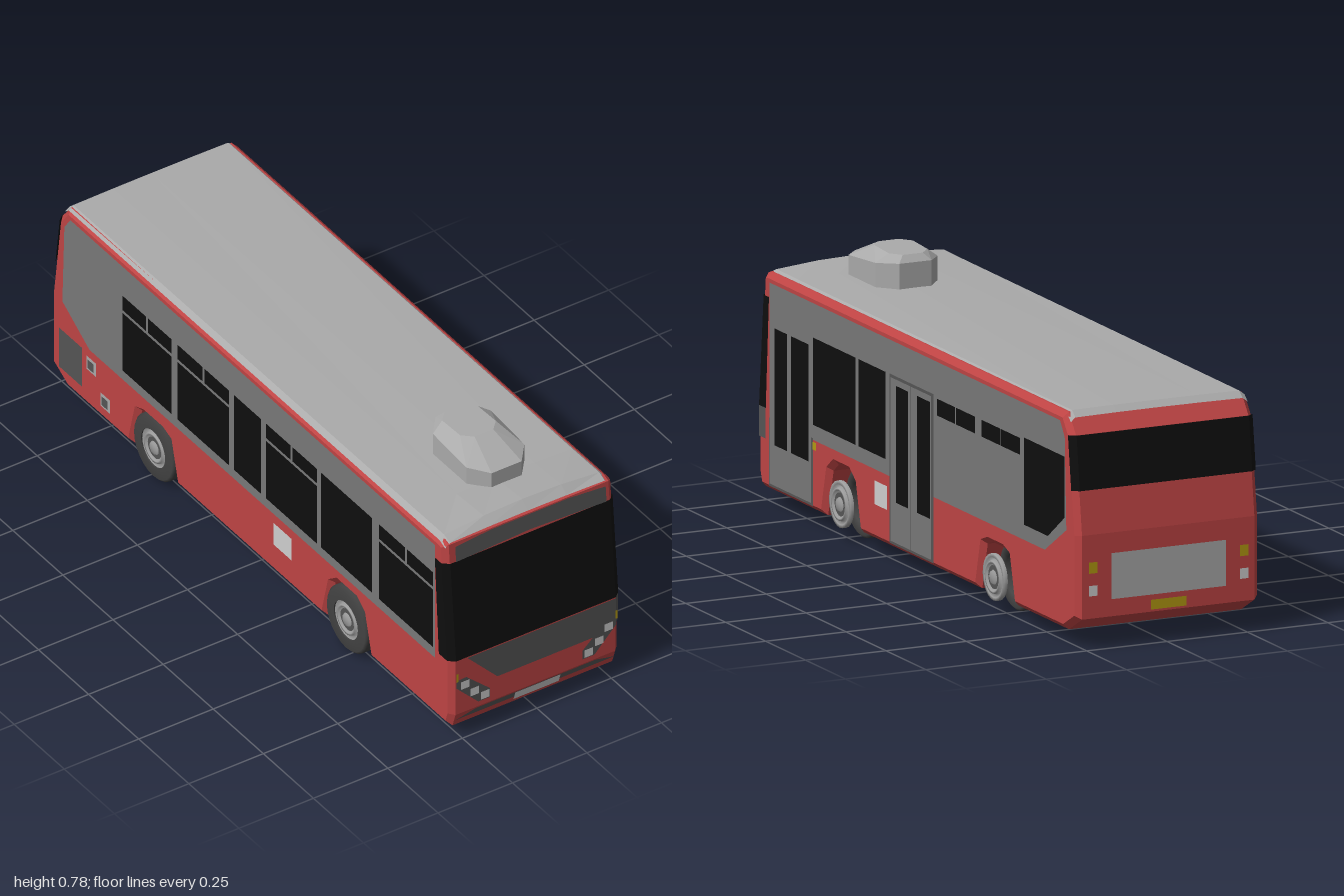
import * as THREE from 'three';
import { ConvexGeometry } from 'three/addons/geometries/ConvexGeometry.js';

const mat = (name, color) => {
  const m = new THREE.MeshStandardMaterial({ color, side: THREE.DoubleSide });
  m.name = name;
  return m;
};

export function createModel() {
  const red = mat('red paint', 0xbe4444), grey = mat('grey panel', 0x787878);
  const dark = mat('dark grey trim', 0x555555), black = mat('black glass', 0x0e0e0e);
  const light = mat('light grey roof', 0xaaaaaa), white = mat('white lamp', 0xcfcfcf);
  const yellow = mat('yellow marker', 0xb49a12), rubber = mat('tyre rubber', 0x424242);
  const steel = mat('wheel steel', 0x9c9c9c);

  const bus = new THREE.Group();
  bus.name = 'bus';
  const body = new THREE.Group();
  body.name = 'body';
  body.position.x = -0.005;
  bus.add(body);
  const add = (geo, material, name, parent = body) => {
    const m = new THREE.Mesh(geo, material);
    m.name = name;
    parent.add(m);
    return m;
  };
  const shape = pts => new THREE.Shape(pts.map(p => new THREE.Vector2(...p)));
  const rect = (a, b, c, d) => [[a, c], [b, c], [b, d], [a, d]];

  // Side profile in (z, y), with wheel arches open across the width
  const HX = 0.284, BEV = 0.016;
  const front = [[0.985, 0.045], [1, 0.09], [1, 0.28], [0.966, 0.66], [0.945, 0.668]];
  const rear = [[-0.915, 0.045], [-0.997, 0.09], [-0.997, 0.33], [-0.96, 0.61], [-0.915, 0.668]];
  const arch = (z, top) => [[z - 0.112, 0.045], [z - 0.078, 0.18], [z - 0.045, top],
    [z + 0.045, top], [z + 0.078, 0.18], [z + 0.112, 0.045]];
  const profile = [...rear.slice(0, 1), ...arch(-0.485, 0.192), ...arch(0.48, 0.205),
    ...front, ...rear.slice(1).reverse()];
  const depth = 2 * (HX - BEV);
  const shell = new THREE.ExtrudeGeometry(shape(profile), {
    depth, bevelEnabled: true, bevelSegments: 1, bevelSize: BEV, bevelOffset: -BEV, bevelThickness: BEV });
  shell.translate(0, 0, -depth / 2).rotateY(-Math.PI / 2);
  add(shell, red, 'shell');

  // z of the front or rear skin at a given height
  const skin = (line, y) => {
    let i = 0;
    while (i < line.length - 2 && y > line[i + 1][1]) i++;
    const [a, b] = [line[i], line[i + 1]];
    return a[0] + (b[0] - a[0]) * (y - a[1]) / (b[1] - a[1]);
  };
  // Thin plate on a side: points are (z, y)
  const sidePlate = (side, pts, material, name, off = 0.003) => {
    const g = new THREE.ShapeGeometry(shape(pts));
    g.rotateY(-Math.PI / 2).translate(side * (HX + off), 0, 0);
    g.computeVertexNormals();
    return add(g, material, name);
  };
  // Thin plate on the front (dir 1) or rear (dir -1): points are (x, y)
  const endPlate = (dir, pts, material, name, off = 0.004) => {
    const g = new THREE.ShapeGeometry(shape(pts)), p = g.attributes.position;
    for (let i = 0; i < p.count; i++) p.setZ(i, skin(dir > 0 ? front : rear, p.getY(i)) + dir * off);
    g.computeVertexNormals();
    return add(g, material, name);
  };
  // Surface through rows of equally many points
  const loft = rows => {
    const pos = [];
    for (let r = 0; r < rows.length - 1; r++)
      for (let i = 0; i < rows[r].length - 1; i++) {
        const [a, b, c, d] = [rows[r][i], rows[r][i + 1], rows[r + 1][i + 1], rows[r + 1][i]];
        pos.push(...a, ...b, ...c, ...a, ...c, ...d);
      }
    const g = new THREE.BufferGeometry();
    g.setAttribute('position', new THREE.Float32BufferAttribute(pos, 3));
    g.computeVertexNormals();
    return g;
  };

  // Windscreen wraps round both front corners; rear window reaches the corners
  const o = 0.003, hx = HX + o, ix = HX - BEV;
  const screenRow = (y, back) => {
    const z = skin(front, y) + o;
    return [[-hx, y, back], [-hx, y, z - BEV], [-ix, y, z], [ix, y, z], [hx, y, z - BEV], [hx, y, back]];
  };
  add(loft([screenRow(0.278, 0.945), screenRow(0.6, 0.925)]), black, 'windscreen');
  const rearRow = y => {
    const z = skin(rear, y) - o;
    return [[hx, y, z + BEV], [ix, y, z], [-ix, y, z], [-hx, y, z + BEV]];
  };
  add(loft([rearRow(0.455), rearRow(0.61)]), black, 'rearWindow');
  add(loft([0.19, 0.278].map(y => screenRow(y, 0.945).slice(3))), dark, 'cornerPanel');

  // Front details
  endPlate(1, [[-0.25, 0.6], [0, 0.61], [0.255, 0.6], [0.255, 0.65], [0.13, 0.66], [-0.13, 0.66], [-0.25, 0.65]],
    dark, 'visor', 0.005);
  endPlate(1, [[-0.23, 0.275], [-0.13, 0.17], [0.19, 0.17], [0.268, 0.19], [0.268, 0.275]], dark, 'frontPanel');
  endPlate(1, [[-0.266, 0.07], [-0.2, 0.09], [0.2, 0.09], [0.266, 0.07]], dark, 'bumperStrip');
  endPlate(1, rect(-0.072, 0.08, 0.063, 0.091), white, 'frontPlate', 0.007);
  for (const s of [-1, 1]) {
    endPlate(1, [[0.268, 0.185], [0.268, 0.21], [0.235, 0.212], [0.155, 0.14], [0.155, 0.11], [0.195, 0.11]]
      .map(([x, y]) => [s * x, y]), dark, 'headlightPanel', 0.005);
    for (const [x, y] of [[0.241, 0.19], [0.209, 0.154], [0.174, 0.128]])
      endPlate(1, rect(s * x - 0.014, s * x + 0.014, y - 0.013, y + 0.013), white, 'headlight', 0.008);
    endPlate(1, rect(s * 0.267 - 0.003, s * 0.267 + 0.003, 0.208, 0.236), yellow, 'frontMarker', 0.008);
    // Rear lamps
    endPlate(-1, rect(s * 0.235 - 0.013, s * 0.235 + 0.013, 0.22, 0.252), yellow, 'rearIndicator');
    endPlate(-1, rect(s * 0.235 - 0.013, s * 0.235 + 0.013, 0.155, 0.185), white, 'reverseLamp');
  }
  endPlate(-1, rect(-0.178, 0.178, 0.14, 0.272), light, 'rearPanel');
  endPlate(-1, rect(-0.055, 0.055, 0.097, 0.125), yellow, 'rearPlate');

  // Grey upper panel on both sides
  for (const s of [-1, 1])
    sidePlate(s, [[0.925, 0.25], [-0.8, 0.25], [-0.935, 0.335], [-0.925, 0.6], [-0.895, 0.642], [0.925, 0.642]],
      grey, 'sidePanel', 0.002);

  // Door side
  sidePlate(1, rect(0.65, 0.925, 0.06, 0.255), dark, 'frontDoorFrame', 0.003);
  sidePlate(1, rect(0.658, 0.917, 0.068, 0.26), grey, 'frontDoor', 0.005);
  sidePlate(1, rect(-0.104, 0.17, 0.06, 0.545), dark, 'rearDoorFrame', 0.003);
  for (const [a, b] of [[-0.095, 0.03], [0.036, 0.161]])
    sidePlate(1, rect(a, b, 0.068, 0.537), grey, 'rearDoorLeaf', 0.005);
  for (const [a, b] of [[0.805, 0.882], [0.67, 0.778], [0.045, 0.12], [-0.09, -0.01]])
    sidePlate(1, rect(a, b, 0.185, 0.52), black, 'doorGlass', 0.007);
  for (const [a, b] of [[0.38, 0.645], [0.19, 0.36]])
    sidePlate(1, rect(a, b, 0.295, 0.545), black, 'sideWindow', 0.005);
  for (const [a, b] of [[-0.245, -0.13], [-0.37, -0.25], [-0.525, -0.41], [-0.65, -0.53]])
    sidePlate(1, rect(a, b, 0.49, 0.538), black, 'topWindow', 0.005);
  sidePlate(1, [[-0.675, 0.295], [-0.825, 0.295], [-0.93, 0.37], [-0.93, 0.545], [-0.675, 0.545]],
    black, 'rearSideWindow', 0.005);
  sidePlate(1, rect(0.185, 0.265, 0.15, 0.218), white, 'hatch');
  sidePlate(1, rect(0.622, 0.643, 0.225, 0.247), yellow, 'sideMarker', 0.007);

  // Window side: some windows carry two opening panes on top
  for (const [a, b, split] of [[-0.63, -0.385, 1], [-0.355, -0.1, 1], [-0.075, 0.06, 0],
    [0.085, 0.34, 1], [0.36, 0.615, 0], [0.65, 0.92, 1]]) {
    sidePlate(-1, rect(a, b, 0.285, split ? 0.485 : 0.545), black, 'sideWindow', 0.005);
    const m = (a + b) / 2;
    if (split) for (const [c, d] of [[a, m - 0.005], [m + 0.005, b]])
      sidePlate(-1, rect(c, d, 0.495, 0.545), black, 'topWindow', 0.005);
  }
  sidePlate(-1, rect(0.12, 0.21, 0.145, 0.22), white, 'hatch');
  sidePlate(-1, rect(-0.95, -0.835, 0.1, 0.235), dark, 'engineGrille');
  for (const [z, y] of [[-0.79, 0.2], [-0.72, 0.115]]) {
    sidePlate(-1, rect(z - 0.023, z + 0.023, y - 0.023, y + 0.023), light, 'fillerFrame');
    sidePlate(-1, rect(z - 0.015, z + 0.015, y - 0.015, y + 0.015), dark, 'fillerCap', 0.005);
  }

  // Roof skin, crowned towards the front
  const roofRow = (z, y, crown) => [[-0.278, y - 0.012], [-0.262, y], [-0.13, y + crown * 0.75], [0, y + crown],
    [0.13, y + crown * 0.75], [0.258, y], [0.272, y - 0.012]].map(([x, h]) => [x, h, z]);
  add(loft([roofRow(0.963, 0.663, 0.004), roofRow(0.935, 0.675, 0.015), roofRow(0.8, 0.674, 0.006),
    roofRow(-0.915, 0.672, 0.002), roofRow(-0.935, 0.655, 0.002)]), light, 'roof');

  // Roof air unit: octagonal base, tapered top
  const ring = (w, z0, z1, y0, y1) => {
    const c = w * 0.52, k = (z1 - z0) * 0.2;
    return [[c, z0], [w, z0 + k], [w, z1 - k], [c, z1]].flatMap(([x, z]) => [1, -1].map(s =>
      new THREE.Vector3(0.011 + s * x, y0 + (y1 - y0) * (z - z0) / (z1 - z0), z)));
  };
  add(new ConvexGeometry([...ring(0.097, 0.553, 0.833, 0.67, 0.67), ...ring(0.097, 0.553, 0.833, 0.752, 0.73),
    ...ring(0.06, 0.57, 0.72, 0.772, 0.779)]), light, 'roofAirUnit', bus);

  // Wheels: tyre with ringed discs, plus a hub plate set towards the door side
  const turn = pts => new THREE.LatheGeometry(pts.map(p => new THREE.Vector2(...p)), 24).rotateZ(-Math.PI / 2);
  const tyre = turn([[0.06, -0.03], [0.095, -0.03], [0.103, -0.022], [0.103, 0.022], [0.095, 0.03],
    [0.06, 0.03], [0.06, -0.03]]);
  const disc = turn([[0, 0.008], [0.018, 0.008], [0.02, 0], [0.036, 0], [0.04, 0.008], [0.046, 0.008],
    [0.05, -0.004], [0.058, 0.004], [0.067, 0.004], [0.067, -0.008]]);
  const groove = turn([[0.021, 0.003], [0.034, 0.003]]);
  for (const z of [0.478, -0.484]) for (const x of [0.187, -0.26]) {
    const wheel = new THREE.Group();
    wheel.name = 'wheel';
    wheel.position.set(x, 0.103, z);
    bus.add(wheel);
    add(tyre, rubber, 'tyre', wheel);
    for (const [dx, flip] of [[-0.022, 1], [0.093, 0]]) {
      const hub = new THREE.Group();
      hub.name = 'hub';
      hub.position.x = dx;
      hub.rotation.y = flip * Math.PI;
      wheel.add(hub);
      add(disc, steel, 'disc', hub);
      add(groove, dark, 'groove', hub);
    }
  }
  return bus;
}
